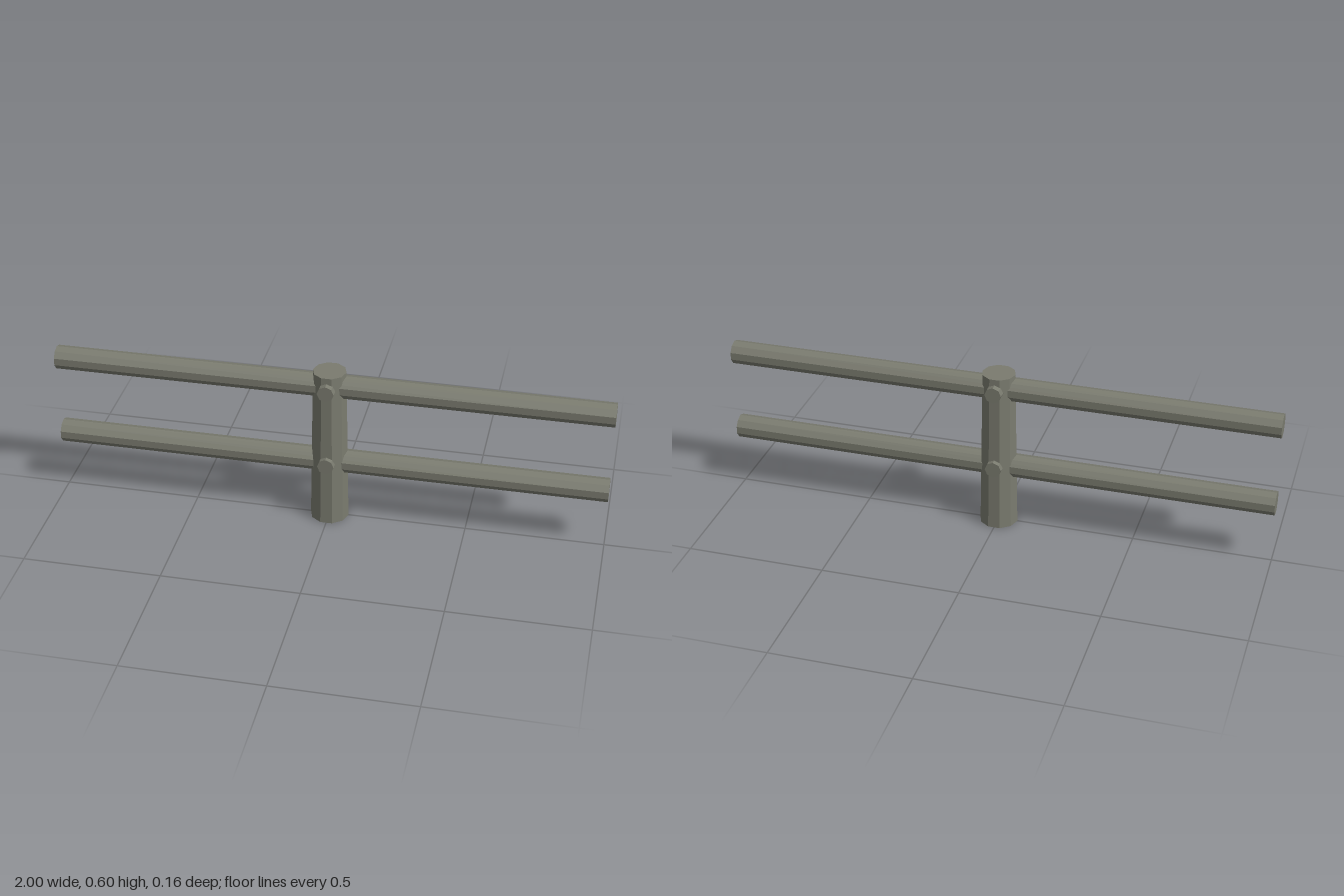
import * as THREE from 'three';

export function createModel() {
  const model = new THREE.Group();
  const weatheredWood = new THREE.MeshStandardMaterial({ color: 0x7a7b6f, flatShading: true });
  weatheredWood.name = 'weatheredWood';

  const add = (name, geometry, y) => {
    const mesh = new THREE.Mesh(geometry, weatheredWood);
    mesh.name = name;
    mesh.position.y = y;
    model.add(mesh);
  };

  // Tapered ten-sided post with corners on the x axis
  add('post', new THREE.CylinderGeometry(0.06, 0.07, 0.6, 10).rotateY(Math.PI / 2), 0.3);

  // Long rails, each with a peg running through the post
  const levels = [
    { name: 'lower', railY: 0.235, pegY: 0.249 },
    { name: 'upper', railY: 0.5425, pegY: 0.549 },
  ];
  for (const { name, railY, pegY } of levels) {
    const rail = new THREE.CylinderGeometry(0.043, 0.043, 2, 10);
    rail.rotateY(Math.PI / 2).rotateZ(Math.PI / 2);
    add(`${name}Rail`, rail, railY);

    const peg = new THREE.CylinderGeometry(0.03, 0.03, 0.16, 8);
    peg.rotateX(Math.PI / 2);
    add(`${name}Peg`, peg, pegY);
  }
  return model;
}
